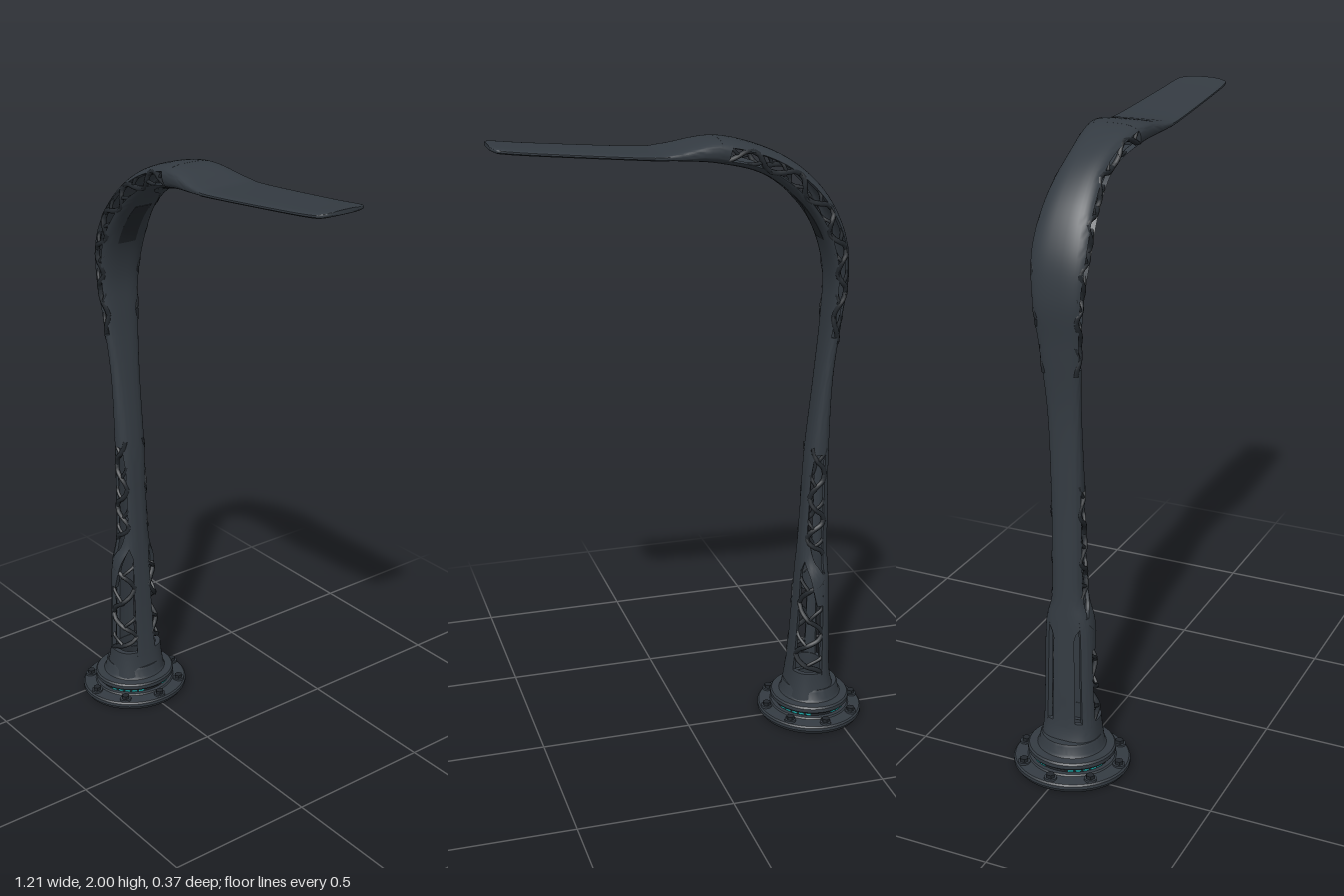
import * as THREE from 'three';
import { toCreasedNormals, mergeGeometries } from 'three/addons/utils/BufferGeometryUtils.js';

const mat = (name, color) => Object.assign(new THREE.MeshStandardMaterial({ color }), { name });

// Stations along the lamp: outer edge x, y, inner edge x, y, half width in z
const stations = [
  [-.515, .08, -.34, .08, .1], [-.492, .16, -.352, .16, .09], [-.486, .3, -.364, .3, .084],
  [-.479, .5, -.375, .5, .077], [-.475, .6, -.38, .6, .055], [-.472, .75, -.388, .75, .052],
  [-.469, .95, -.398, .95, .051], [-.473, 1.2, -.425, 1.2, .053], [-.492, 1.4, -.447, 1.4, .066],
  [-.508, 1.56, -.452, 1.54, .08], [-.485, 1.7, -.418, 1.67, .09], [-.41, 1.83, -.345, 1.78, .082],
  [-.28, 1.93, -.23, 1.868, .073], [-.1, 1.985, -.08, 1.912, .09], [.06, 1.962, .06, 1.932, .102],
  [.15, 1.957, .15, 1.94, .102], [.45, 1.982, .45, 1.966, .092], [.57, 1.995, .57, 1.978, .086],
  [.595, 1.998, .595, 1.982, .07], [.604, 1.999, .604, 1.986, .045]
];

function station(s) {
  const last = stations.length - 1;
  const i = Math.min(Math.floor(s), last - 1), t = s - i;
  const at = j => stations[Math.max(0, Math.min(last, j))];
  return at(i).map((b, n) => {
    const a = at(i - 1)[n], c = at(i + 1)[n], d = at(i + 2)[n];
    return b + t * ((c - a) / 2 + t * (a - 2.5 * b + 2 * c - d / 2 + t * (1.5 * (b - c) + (d - a) / 2)));
  });
}

// Point on the skin: s runs along the lamp, a around it (0 = outer side, PI = inner side)
function skin(s, a, k = 1) {
  const [ox, oy, ix, iy, w] = station(s);
  const e = THREE.MathUtils.lerp(.78, .55, THREE.MathUtils.smoothstep(s, 12, 14));
  const round = v => Math.sign(v) * Math.abs(v) ** e;
  const c = round(Math.cos(a)) * k / 2;
  return new THREE.Vector3((ox + ix) / 2 + (ox - ix) * c, (oy + iy) / 2 + (oy - iy) * c, round(Math.sin(a)) * w * k);
}

// Thick curved panel cut from the skin; lo and hi are angles that may vary along s
function panel(s0, s1, lo, hi, kIn = .82, kOut = 1, na = 14) {
  const f = v => (typeof v === 'function' ? v : () => v);
  const ns = Math.ceil((s1 - s0) * 8), m = 2 * (na + 1), pos = [], idx = [];
  for (let r = 0; r <= ns; r++) {
    const s = s0 + (s1 - s0) * r / ns, a0 = f(lo)(s), a1 = f(hi)(s);
    for (let j = 0; j < m; j++) {
      const i = j <= na ? j : m - 1 - j;
      pos.push(...skin(s, a0 + (a1 - a0) * i / na, j <= na ? kOut : kIn).toArray());
    }
  }
  for (let r = 0; r < ns; r++) for (let j = 0; j < m; j++) {
    const a = r * m + j, b = r * m + (j + 1) % m;
    idx.push(a, b, b + m, a, b + m, a + m);
  }
  for (let i = 0; i < na; i++) {
    const o = i, p = i + 1, q = m - 2 - i, n = m - 1 - i, t = ns * m;
    idx.push(o, n, q, o, q, p, t + o, t + q, t + n, t + o, t + p, t + q);
  }
  const g = new THREE.BufferGeometry();
  g.setAttribute('position', new THREE.Float32BufferAttribute(pos, 3));
  g.setIndex(idx);
  return toCreasedNormals(g, .6);
}

export function createModel() {
  const slate = mat('slate metal', 0x343b42);
  const dark = mat('dark metal', 0x23282d);
  const teal = mat('teal light', 0x1fb0b0);
  const group = new THREE.Group();
  const add = (name, geo, m, parent = group) => {
    const mesh = new THREE.Mesh(geo, m);
    mesh.name = name;
    parent.add(mesh);
    return mesh;
  };
  const PI = Math.PI, TAU = PI * 2;

  // Closed portions of the post and the lamp head
  add('columnFoot', panel(0, 1.15, 0, TAU, .8, 1, 40), slate);
  add('columnMiddle', panel(6, 7.7, 0, TAU, .8, 1, 40), slate);
  add('lampHead', panel(12.9, 19, 0, TAU, 0, 1, 48), slate);

  // Spines on the outer and inner sides
  add('lowerBackSpine', panel(1, 3.2, -.35, .35), slate);
  add('lowerFrontSpine', panel(1, 4, PI - .34, PI + .34), slate);
  const flare = s => .35 + .9 * THREE.MathUtils.smoothstep(s, 2.8, 3.4);
  add('backSpine', panel(2.8, 6.2, s => -flare(s), flare), slate);
  const innerHalf = s => .34 + .45 * THREE.MathUtils.smoothstep(s, 3.2, 4) + .35 * THREE.MathUtils.smoothstep(s, 5.5, 6.2);
  add('frontSpine', panel(3.2, 6.2, s => PI - innerHalf(s), s => PI + innerHalf(s)), slate);
  add('armTopSkin', panel(7.5, 13.1, -1.2, 1.2, .8), slate);
  add('armUnderSkin', panel(7.5, 13.1, PI - 1.12, PI + 1.12, .8), slate);

  // Side posts and the bands that sweep from them onto the front
  for (const side of [1, -1]) {
    const both = (s0, s1, lo, hi) => side > 0 ? panel(s0, s1, lo, hi)
      : panel(s0, s1, s => -(hi.call ? hi(s) : hi), s => -(lo.call ? lo(s) : lo));
    add('sidePost', both(1, 3.3, .65, 1.35), slate);
    const sweep = s => 1.2 + (s - 2.6) * .72;
    add('sweepingBand', both(2.6, 4.5, s => sweep(s) - .35, s => sweep(s) + .4), slate);
  }

  // Branching lattice in the side openings
  const openings = [[1.1, 3.1, 1.25, 2.85, 4], [4, 6.1, 1.15, 2.4, 5], [7.6, 13, 1.1, 2.12, 11]];
  const struts = [];
  for (const side of [1, -1]) for (const [s0, s1, lo, hi, n] of openings) for (let i = 0; i < n; i++) {
    const step = (s1 - s0) / n, a = s0 + i * step, b = a + step;
    const strut = (p, q, from, to, r) => {
      const pts = [];
      for (let j = 0; j <= 4; j++) {
        const t = j / 4, bend = THREE.MathUtils.smoothstep(t, 0, 1);
        pts.push(skin(p + (q - p) * t, side * (from + (to - from) * bend), .9));
      }
      struts.push(new THREE.TubeGeometry(new THREE.CatmullRomCurve3(pts), 10, r, 6));
    };
    strut(a, b, i % 2 ? hi : lo, i % 2 ? lo : hi, .0085);
    strut(a + step * .4, b, (lo + hi) / 2, i % 2 ? hi : lo, .006);
  }
  add('lattice', mergeGeometries(struts), dark);

  // Light panel under the head and inlay under the arm
  const panelHalf = s => .9 * Math.min(1, Math.sqrt(Math.max(.02, (s - 14.1) * 3)), Math.sqrt(Math.max(.02, (17.6 - s) * 3)));
  add('lightPanel', panel(14.1, 17.6, s => PI - panelHalf(s), s => PI + panelHalf(s), .95, 1.07), dark);
  add('armInlay', panel(9.9, 11.2, PI - .28, PI + .28, .95, 1.03), dark);

  // Round base, slightly narrower from left to right
  const base = new THREE.Group();
  base.name = 'base';
  base.position.x = -.432;
  base.scale.x = .94;
  group.add(base);
  const lathe = (name, profile, m) => add(name,
    toCreasedNormals(new THREE.LatheGeometry(profile.map(p => new THREE.Vector2(...p)), 64), .5), m, base);
  lathe('basePlate', [[0, 0], [.178, 0], [.18, .012]], dark);
  lathe('baseFlange', [[.18, .01], [.187, .013], [.187, .024], [.182, .029], [.142, .033], [.138, .038], [.124, .038]], slate);
  lathe('lightGroove', [[.124, .034], [.124, .056], [.138, .056]], dark);
  lathe('baseRing', [[.124, .054], [.138, .054], [.141, .058], [.141, .07], [.136, .076], [.11, .078], [.104, .086],
    [.1, .11], [.096, .118], [.06, .12]], slate);

  // Eight bolts on washers
  for (let i = 0; i < 8; i++) {
    const a = i * TAU / 8;
    const bolt = new THREE.Group();
    bolt.name = 'bolt';
    bolt.position.set(Math.cos(a) * .163, .03, Math.sin(a) * .163);
    base.add(bolt);
    add('washer', new THREE.CylinderGeometry(.02, .02, .008, 20), slate, bolt).position.y = .003;
    add('boltHead', toCreasedNormals(new THREE.CylinderGeometry(.014, .014, .014, 6), .5), dark, bolt).position.y = .011;
  }

  // Teal dashes in the groove, grouped between the four axes
  for (let q = 0; q < 4; q++) for (let i = -2; i <= 2; i++) {
    const a = PI / 4 + q * PI / 2 + i * .2;
    const dash = add('lightDash', new THREE.BoxGeometry(.019, .009, .006), teal, base);
    dash.position.set(Math.sin(a) * .126, .046, Math.cos(a) * .126);
    dash.rotation.y = a;
  }
  return group;
}
